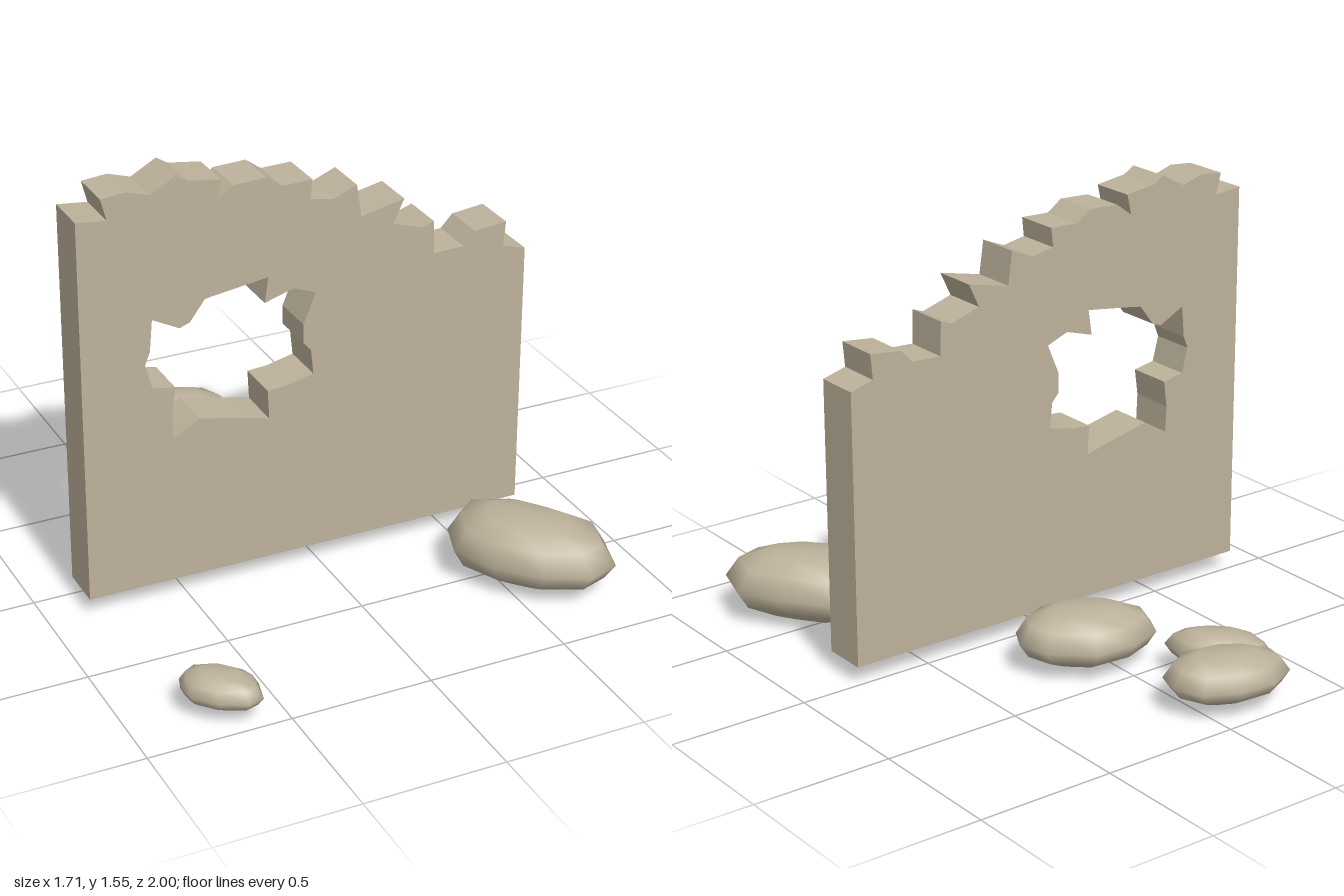
import * as THREE from 'three';
import { mergeVertices } from 'three/addons/utils/BufferGeometryUtils.js';

const toPoints = (pairs) => pairs.map(([x, y]) => new THREE.Vector2(x, y));

// Broken slab: jagged top edge and a ragged hole, extruded to wall thickness
function wallGeometry() {
  const brokenTop = [
    [-0.857, 1.457], [-0.75, 1.445], [-0.77, 1.522], [-0.68, 1.53], [-0.6, 1.505], [-0.51, 1.555],
    [-0.47, 1.53], [-0.353, 1.513], [-0.37, 1.44], [-0.31, 1.485], [-0.193, 1.49], [-0.138, 1.45],
    [-0.028, 1.453], [-0.035, 1.385], [0.05, 1.368], [0.135, 1.403], [0.152, 1.285], [0.312, 1.32],
    [0.272, 1.235], [0.385, 1.2], [0.427, 1.215], [0.43, 1.095], [0.542, 1.1], [0.587, 1.147],
    [0.706, 1.16], [0.698, 1.07], [0.784, 1.046],
  ];
  // The hole runs the opposite way round to the outer edge
  const hole = [
    [-0.615, 0.95], [-0.633, 0.905], [-0.61, 0.815], [-0.528, 0.8], [-0.541, 0.705], [-0.537, 0.61],
    [-0.445, 0.665], [-0.243, 0.62], [-0.188, 0.605], [-0.193, 0.711], [-0.119, 0.716], [-0.023, 0.739],
    [-0.032, 0.83], [-0.06, 0.862], [-0.06, 0.931], [-0.014, 1.041], [-0.096, 1.073], [-0.202, 1.041],
    [-0.188, 1.133], [-0.39, 1.105], [-0.417, 1.1], [-0.472, 1.027], [-0.509, 1.014], [-0.605, 1.064],
  ];
  const shape = new THREE.Shape(toPoints([...brokenTop, [0.784, 0.066], [-0.857, 0.066]]));
  shape.holes.push(new THREE.Path(toPoints(hole)));
  return new THREE.ExtrudeGeometry(shape, { depth: 0.164, bevelEnabled: false });
}

// Rock: a ground outline (x, z) repeated at several heights and shrunk towards both poles
const ROCK_RINGS = [[0, 0], [0.07, 0.5], [0.26, 0.87], [0.5, 1], [0.8, 0.84], [0.97, 0.5], [1, 0]];

function rockGeometry(outline, bottom, top) {
  const n = outline.length;
  const cx = outline.reduce((s, p) => s + p[0], 0) / n;
  const cz = outline.reduce((s, p) => s + p[1], 0) / n;
  const positions = [];
  const index = [];
  ROCK_RINGS.forEach(([t, scale], r) => {
    outline.forEach(([x, z], i) => {
      positions.push(cx + (x - cx) * scale, bottom + (top - bottom) * t, cz + (z - cz) * scale);
      if (r === ROCK_RINGS.length - 1) return;
      const a = r * n + i;
      const b = r * n + ((i + 1) % n);
      if (r < ROCK_RINGS.length - 2) index.push(a, a + n, b + n);
      if (r > 0) index.push(a, b + n, b);
    });
  });
  const geometry = new THREE.BufferGeometry();
  geometry.setAttribute('position', new THREE.Float32BufferAttribute(positions, 3));
  geometry.setIndex(index);
  const merged = mergeVertices(geometry);
  merged.computeVertexNormals();
  return merged;
}

const ROCKS = [
  { name: 'rearRockNear', bottom: 0.014, top: 0.214, outline: [
    [-0.168, -0.38], [-0.13, -0.46], [0, -0.507], [0.15, -0.495], [0.28, -0.38],
    [0.31, -0.27], [0.26, -0.18], [0.15, -0.134], [0, -0.158], [-0.12, -0.26]] },
  { name: 'rearRockSmall', bottom: 0.03, top: 0.163, outline: [
    [-0.37, -0.7], [-0.355, -0.8], [-0.3, -0.825], [-0.2, -0.78], [-0.12, -0.69],
    [-0.098, -0.62], [-0.115, -0.52], [-0.185, -0.512], [-0.26, -0.56], [-0.34, -0.64]] },
  { name: 'rearRockFar', bottom: 0.025, top: 0.192, outline: [
    [-0.318, -0.87], [-0.3, -0.95], [-0.195, -1], [-0.06, -0.99], [0.06, -0.93],
    [0.103, -0.83], [0.075, -0.74], [-0.02, -0.69], [-0.15, -0.715], [-0.28, -0.8]] },
  { name: 'frontBoulder', bottom: 0, top: 0.247, outline: [
    [0.495, 0.278], [0.645, 0.34], [0.773, 0.51], [0.857, 0.65], [0.805, 0.82],
    [0.69, 0.858], [0.54, 0.785], [0.42, 0.65], [0.353, 0.5], [0.405, 0.355]] },
  { name: 'frontPebble', bottom: 0.034, top: 0.152, outline: [
    [-0.745, 0.74], [-0.66, 0.77], [-0.588, 0.85], [-0.57, 0.9], [-0.592, 0.985],
    [-0.645, 1], [-0.735, 0.955], [-0.8, 0.88], [-0.808, 0.82], [-0.79, 0.765]] },
];

export function createModel() {
  const group = new THREE.Group();
  group.name = 'ruinedWall';
  const stone = new THREE.MeshStandardMaterial({ color: 0xbdb29b });
  stone.name = 'stone';

  const add = (name, geometry) => {
    const mesh = new THREE.Mesh(geometry, stone);
    mesh.name = name;
    group.add(mesh);
  };
  add('wall', wallGeometry());
  for (const { name, outline, bottom, top } of ROCKS) add(name, rockGeometry(outline, bottom, top));
  return group;
}
